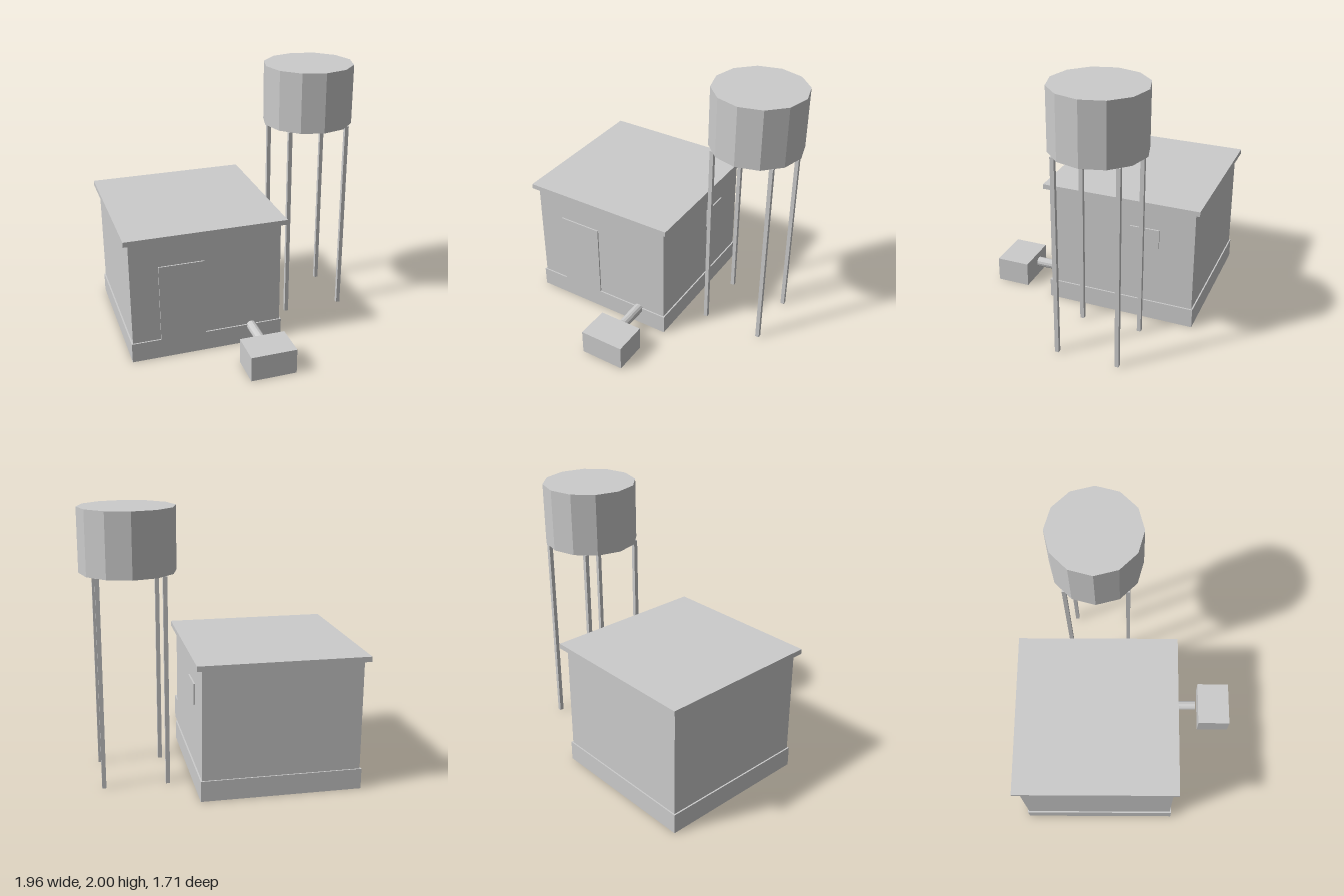
import * as THREE from 'three';

export function createModel() {
  const model = new THREE.Group();
  model.name = 'pumpHouse';
  const grey = new THREE.MeshStandardMaterial({ color: 0xcccccc, flatShading: true });
  grey.name = 'plain grey';

  const add = (name, geometry, x, y, z, parent = model) => {
    const mesh = new THREE.Mesh(geometry, grey);
    mesh.name = name;
    mesh.position.set(x, y, z);
    parent.add(mesh);
    return mesh;
  };
  // Box given by its limits on each axis
  const block = (name, [x0, x1], [y0, y1], [z0, z1], parent) =>
    add(name, new THREE.BoxGeometry(x1 - x0, y1 - y0, z1 - z0),
      (x0 + x1) / 2, (y0 + y1) / 2, (z0 + z1) / 2, parent);

  // Hut
  const hut = new THREE.Group();
  hut.name = 'hut';
  model.add(hut);
  block('plinth', [-0.953, 0.218], [0, 0.152], [-0.825, 0.35], hut);
  block('walls', [-0.942, 0.207], [0.152, 0.962], [-0.815, 0.339], hut);
  block('roofSlab', [-0.98, 0.246], [0.962, 1], [-0.853, 0.376], hut);
  block('door', [-0.73, -0.386], [0.152, 0.752], [0.33, 0.35], hut);
  block('window', [0.198, 0.218], [0.618, 0.772], [-0.545, -0.316], hut);

  // Water tower
  const tower = new THREE.Group();
  tower.name = 'waterTower';
  tower.position.set(0.633, 0, -0.24);
  model.add(tower);
  add('tank', new THREE.CylinderGeometry(0.347, 0.347, 0.46, 12), 0, 1.77, 0, tower);
  for (const sx of [-1, 1]) {
    for (const sz of [-1, 1]) {
      add('towerLeg', new THREE.BoxGeometry(0.03, 1.54, 0.03), sx * 0.232, 0.77, sz * 0.232, tower);
    }
  }

  // Outlet pipe and the box in front of it
  const pipe = add('outletPipe', new THREE.CylinderGeometry(0.038, 0.038, 0.235, 12), -0.021, 0.138, 0.45);
  pipe.rotation.x = Math.PI / 2;
  block('valveBox', [-0.197, 0.152], [0, 0.195], [0.59, 0.853]);

  return model;
}
